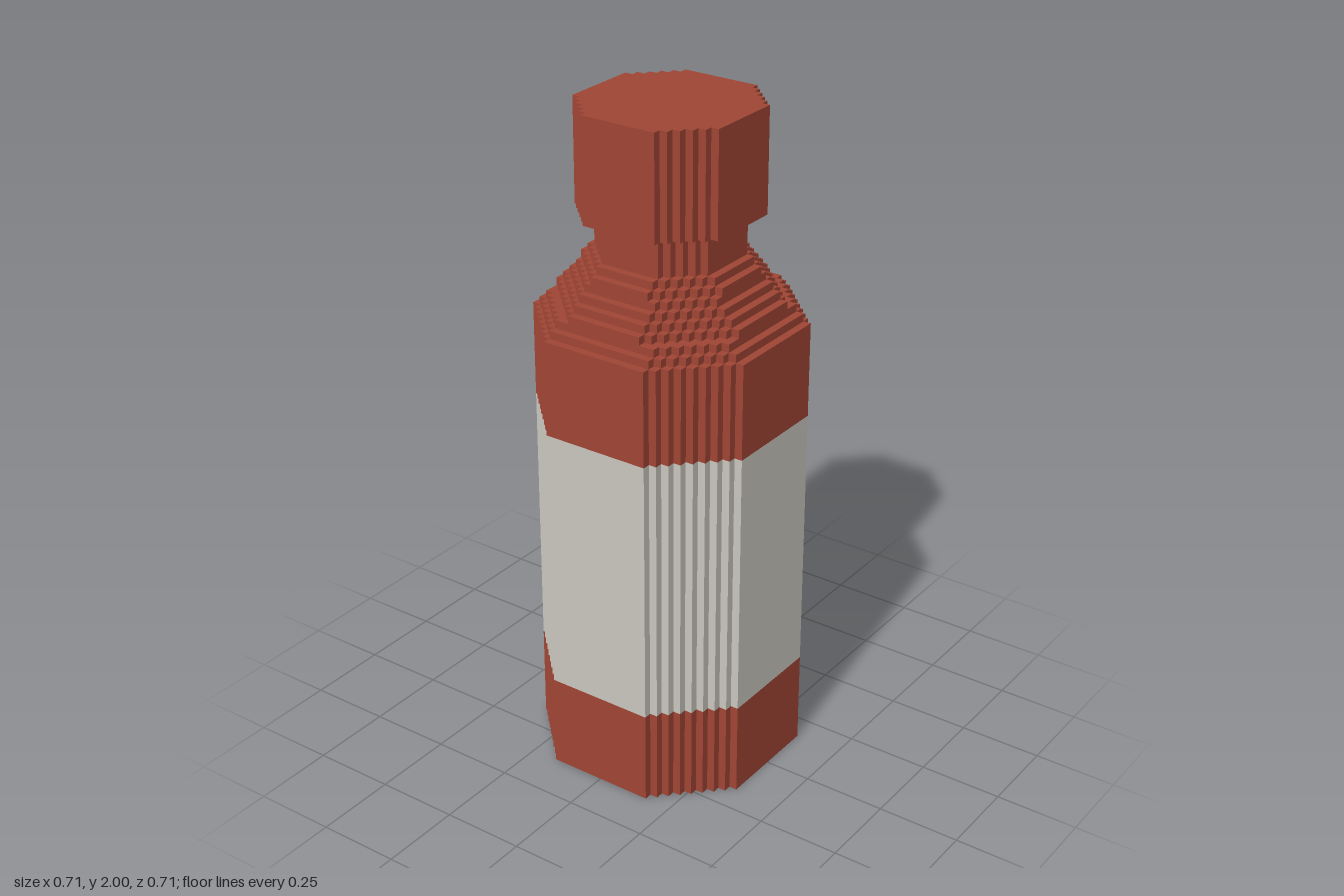
import * as THREE from 'three';

const U = 2 / 84; // size of one block

// Stepped octagonal outline: `reach` blocks to each flat, `sum` limits |x| + |z|.
function steppedOutline(reach, sum) {
  const flat = sum - reach;
  const quarter = [];
  for (let x = reach, z = flat; x >= flat; x--, z++) {
    quarter.push([x, z]);
    if (x > flat) quarter.push([x - 1, z]);
  }
  const points = [];
  for (let q = 0; q < 4; q++) {
    for (const [x, z] of quarter) {
      const [a, b] = [[x, z], [-z, x], [-x, -z], [z, -x]][q];
      points.push(new THREE.Vector2(a * U, b * U));
    }
  }
  return new THREE.Shape(points);
}

// Upright slab for a given radius in blocks, from height y0 to y1 in blocks.
function slab(name, radius, y0, y1, material) {
  const reach = Math.floor(radius + 0.5);
  const sum = Math.floor(radius * Math.SQRT2) + 1;
  const geometry = new THREE.ExtrudeGeometry(steppedOutline(reach, sum), {
    depth: (y1 - y0) * U, bevelEnabled: false,
  });
  geometry.rotateX(-Math.PI / 2);
  const mesh = new THREE.Mesh(geometry, material);
  mesh.position.y = y0 * U;
  mesh.name = name;
  return mesh;
}

export function createModel() {
  const red = new THREE.MeshStandardMaterial({ color: 0xa04534 });
  red.name = 'brick red';
  const cream = new THREE.MeshStandardMaterial({ color: 0xc9c6bd });
  cream.name = 'label cream';

  const bottle = new THREE.Group();
  bottle.name = 'bottle';

  // Body with its wrap-around label
  bottle.add(slab('lowerBody', 15, 0, 12, red));
  bottle.add(slab('label', 15, 12, 46, cream));
  bottle.add(slab('upperBody', 15, 46, 58, red));

  // Shoulder narrowing one layer at a time
  const shoulder = new THREE.Group();
  shoulder.name = 'shoulder';
  for (let y = 58; y < 66; y++) {
    shoulder.add(slab('shoulderStep', 15 - (7 * (y - 57)) / 9, y, y + 1, red));
  }
  bottle.add(shoulder);

  // Neck and cap
  bottle.add(slab('neck', 8, 66, 71, red));
  bottle.add(slab('cap', 10, 71, 84, red));
  return bottle;
}
